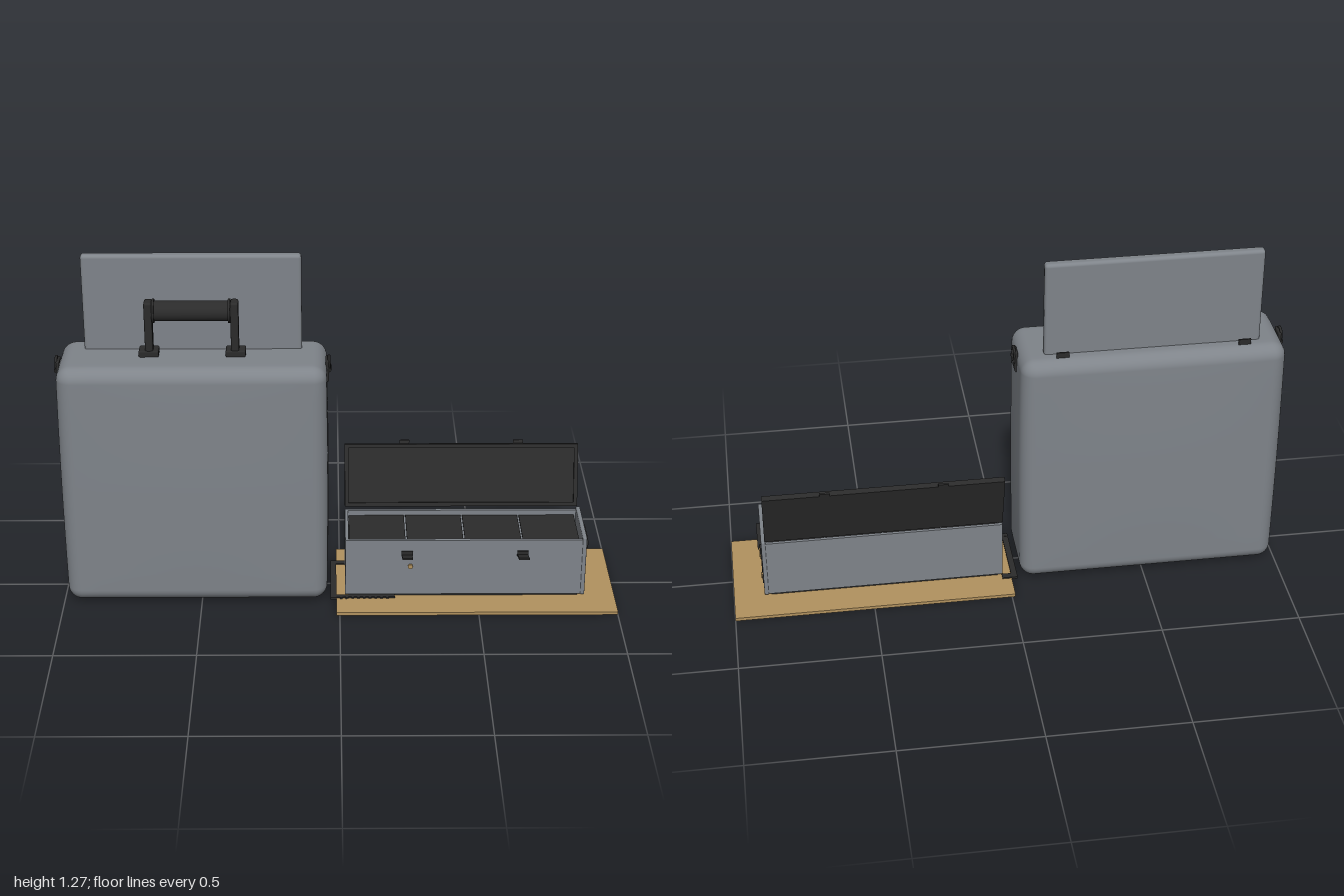
import * as THREE from 'three';
import { mergeVertices } from 'three/addons/utils/BufferGeometryUtils.js';
import { RoundedBoxGeometry } from 'three/addons/geometries/RoundedBoxGeometry.js';

function material(name, color) {
  const m = new THREE.MeshStandardMaterial({ color });
  m.name = name;
  return m;
}

// Rounded box whose broad sides swell slightly outwards
function softCase(w, h, d, r, swell) {
  const n = 20;
  let geo = new THREE.BoxGeometry(2, 2, 2, n, n, n);
  geo.deleteAttribute('uv');
  geo.deleteAttribute('normal');
  geo = mergeVertices(geo);
  const half = [w / 2, h / 2, d / 2], pos = geo.attributes.position;
  const spread = (t, s) => {
    const a = Math.abs(t), core = s - r;
    const v = a < 0.6 ? (a / 0.6) * core : core + r * Math.tan(((a - 0.6) / 0.4) * Math.PI / 4);
    return Math.sign(t) * v;
  };
  for (let i = 0; i < pos.count; i++) {
    const p = [pos.getX(i), pos.getY(i), pos.getZ(i)].map((t, k) => spread(t, half[k]));
    const inner = p.map((v, k) => THREE.MathUtils.clamp(v, r - half[k], half[k] - r));
    const dir = new THREE.Vector3(...p.map((v, k) => v - inner[k])).normalize().multiplyScalar(r);
    const q = [inner[0] + dir.x, inner[1] + dir.y, inner[2] + dir.z];
    const f = q.map((v, k) => Math.max(0, 1 - (v / half[k]) ** 2));
    q[2] += Math.sign(q[2]) * swell * f[0] * f[1];
    q[0] += Math.sign(q[0]) * swell * f[1] * f[2];
    pos.setXYZ(i, ...q);
  }
  geo.computeVertexNormals();
  return geo;
}

// Stadium-shaped outline
function slot(target, w, h) {
  const r = h / 2, a = w / 2 - r;
  target.absarc(a, 0, r, -Math.PI / 2, Math.PI / 2, false);
  target.absarc(-a, 0, r, Math.PI / 2, Math.PI * 1.5, false);
  target.closePath();
  return target;
}

export function createModel() {
  const model = new THREE.Group();
  const grey = material('shell grey', 0x7f848a);
  const dark = material('trim black', 0x2b2b2b);
  const tan = material('mat tan', 0xb2925f);

  const group = (name, parent = model) => {
    const g = new THREE.Group();
    g.name = name;
    parent.add(g);
    return g;
  };
  const add = (parent, name, geo, mat, x = 0, y = 0, z = 0) => {
    const m = new THREE.Mesh(geo, mat);
    m.name = name;
    m.position.set(x, y, z);
    parent.add(m);
    return m;
  };
  // Box given by its limits on each axis
  const box = (parent, name, mat, x0, x1, y0, y1, z0, z1) =>
    add(parent, name, new THREE.BoxGeometry(x1 - x0, y1 - y0, z1 - z0), mat,
      (x0 + x1) / 2, (y0 + y1) / 2, (z0 + z1) / 2);

  // Large upright case
  const big = group('uprightCase');
  big.position.x = -0.515;
  add(big, 'caseShell', softCase(0.938, 0.915, 0.306, 0.05, 0.007), grey, 0, 0.467, 0);
  add(big, 'raisedPanel', new RoundedBoxGeometry(0.766, 0.45, 0.038, 3, 0.012), grey, 0, 1.05, -0.064);

  // Carry handle
  const handle = group('carryHandle', big);
  for (const s of [-1, 1]) {
    add(handle, 'handleFoot', new RoundedBoxGeometry(0.07, 0.026, 0.056, 2, 0.006), dark, s * 0.152, 0.934, 0);
    add(handle, 'handlePost', new RoundedBoxGeometry(0.028, 0.2, 0.05, 3, 0.008), dark, s * 0.15, 1.025, 0);
    const flange = add(handle, 'gripFlange', new THREE.CylinderGeometry(0.042, 0.042, 0.008, 32), dark, s * 0.132, 1.088, 0);
    flange.rotation.z = Math.PI / 2;
  }
  const grip = add(handle, 'grip', new THREE.CylinderGeometry(0.036, 0.036, 0.27, 32), dark, 0, 1.088, 0);
  grip.rotation.z = Math.PI / 2;

  // Strap lugs, panel clips and feet
  for (const s of [-1, 1]) {
    const lug = group('strapLug', big);
    lug.position.set(s * 0.472, 0, 0);
    add(lug, 'lugPlate', new RoundedBoxGeometry(0.012, 0.08, 0.056, 2, 0.005), dark, 0, 0.868, 0);
    const ring = add(lug, 'strapRing', new THREE.TorusGeometry(0.023, 0.005, 8, 28), dark, s * 0.006, 0.892, 0);
    ring.rotation.set(0, Math.PI / 2, 0);
    const pin = add(lug, 'lugPin', new THREE.CylinderGeometry(0.008, 0.008, 0.05, 12), dark, s * 0.006, 0.872, 0);
    pin.rotation.x = Math.PI / 2;
    box(big, 'panelClip', dark, s * 0.322 - 0.022, s * 0.322 + 0.022, 0.915, 0.944, -0.111, -0.105);
    for (const z of [-0.09, 0.09])
      add(big, 'caseFoot', new THREE.CylinderGeometry(0.009, 0.009, 0.012, 12), dark, s * 0.38, 0.006, z);
  }

  // Floor mat
  box(model, 'floorMat', tan, -0.012, 1, 0.002, 0.014, -0.236, 0.236);

  // Flat bracket under the small box
  const bracket = group('floorBracket');
  box(bracket, 'bracketSpine', dark, -0.034, -0.012, 0.01, 0.019, -0.14, 0.135);
  box(bracket, 'bracketRearArm', dark, -0.034, 0.022, 0.0145, 0.019, -0.14, -0.115);
  box(bracket, 'bracketFrontArm', dark, -0.034, 0.2, 0.0145, 0.02, 0.115, 0.133);
  for (let i = 0; i < 9; i++)
    box(bracket, 'bracketRib', dark, i * 0.021, i * 0.021 + 0.01, 0.0145, 0.02, 0.13, 0.138);

  // Long open box
  const chest = group('openBox');
  box(chest, 'boxBase', dark, 0.035, 0.865, 0.014, 0.026, -0.112, 0.112);
  box(chest, 'boxFloor', grey, 0.02, 0.877, 0.025, 0.035, -0.122, 0.122);
  for (const [z0, z1] of [[-0.122, -0.11], [0.11, 0.122]])
    box(chest, 'longWall', grey, 0.02, 0.877, 0.03, 0.246, z0, z1);
  box(chest, 'leftEndWall', grey, 0.02, 0.032, 0.03, 0.246, -0.11, 0.11);
  add(chest, 'controlPanel', new RoundedBoxGeometry(0.016, 0.234, 0.248, 2, 0.005), grey, 0.882, 0.138, 0);

  // Four inner compartments with thin dividers
  for (let i = 0; i < 4; i++) {
    const x = 0.034 + i * 0.2095;
    box(chest, 'compartment', dark, x, x + 0.204, 0.035, 0.226, -0.11, 0.11);
    if (i) box(chest, 'divider', grey, x - 0.0055, x, 0.035, 0.222, -0.11, 0.11);
  }

  // Front latches and lock
  for (const x of [0.243, 0.66]) {
    box(chest, 'latchMount', dark, x - 0.02, x + 0.02, 0.182, 0.203, 0.121, 0.127);
    const flap = add(chest, 'latchFlap', new THREE.BoxGeometry(0.038, 0.006, 0.066), dark, x, 0.195, 0.156);
    flap.rotation.x = -0.3;
  }
  const lock = add(chest, 'lockDisc', new THREE.CylinderGeometry(0.009, 0.009, 0.008, 16), tan, 0.255, 0.141, 0.125);
  lock.rotation.x = Math.PI / 2;

  // Tilted lid with a raised rim on its inner face
  const lid = group('lid', chest);
  lid.position.set(0.4485, 0.262, -0.116);
  lid.rotation.x = -0.29;
  box(lid, 'lidPanel', dark, -0.4285, 0.4285, 0, 0.232, -0.01, 0.004);
  for (const [y0, y1] of [[0, 0.014], [0.218, 0.232]])
    box(lid, 'lidLongRim', dark, -0.4285, 0.4285, y0, y1, 0.004, 0.012);
  for (const s of [-1, 1]) {
    add(lid, 'lidEndRim', new THREE.BoxGeometry(0.014, 0.204, 0.008), dark, s * 0.4215, 0.116, 0.008);
    box(lid, 'lidCatch', dark, s * 0.209 - 0.018, s * 0.209 + 0.018, 0.228, 0.245, -0.012, -0.005);
  }

  // Controls laid out on the end panel, facing +x
  const controls = group('controls', chest);
  controls.position.x = 0.89;
  controls.rotation.y = Math.PI / 2;
  const plate = (name, mat, x, y, w, h, d = 0.004) =>
    add(controls, name, new THREE.BoxGeometry(w, h, d), mat, x, y, d / 2);
  const pull = slot(new THREE.Shape(), 0.136, 0.038);
  pull.holes.push(slot(new THREE.Path(), 0.116, 0.02));
  add(controls, 'pullRing', new THREE.ExtrudeGeometry(pull, { depth: 0.012, bevelEnabled: false, curveSegments: 12 }),
    dark, 0, 0.196, 0);
  plate('switchFrame', dark, 0.095, 0.196, 0.034, 0.038, 0.005);
  plate('switchButton', tan, 0.095, 0.196, 0.024, 0.028, 0.008);
  for (let i = 0; i < 6; i++) {
    const x = -0.087 + i * 0.0345;
    plate('scaleTick', dark, x, 0.102, 0.004, 0.015, 0.002);
    plate('scaleDot', dark, x, 0.083, 0.008, 0.004, 0.002);
  }
  plate('markerStrip', dark, -0.022, 0.143, 0.062, 0.004, 0.002);
  plate('sliderTrack', dark, 0, 0.058, 0.19, 0.005, 0.003);
  plate('sliderKnob', tan, 0.05, 0.058, 0.012, 0.019, 0.008);

  return model;
}
